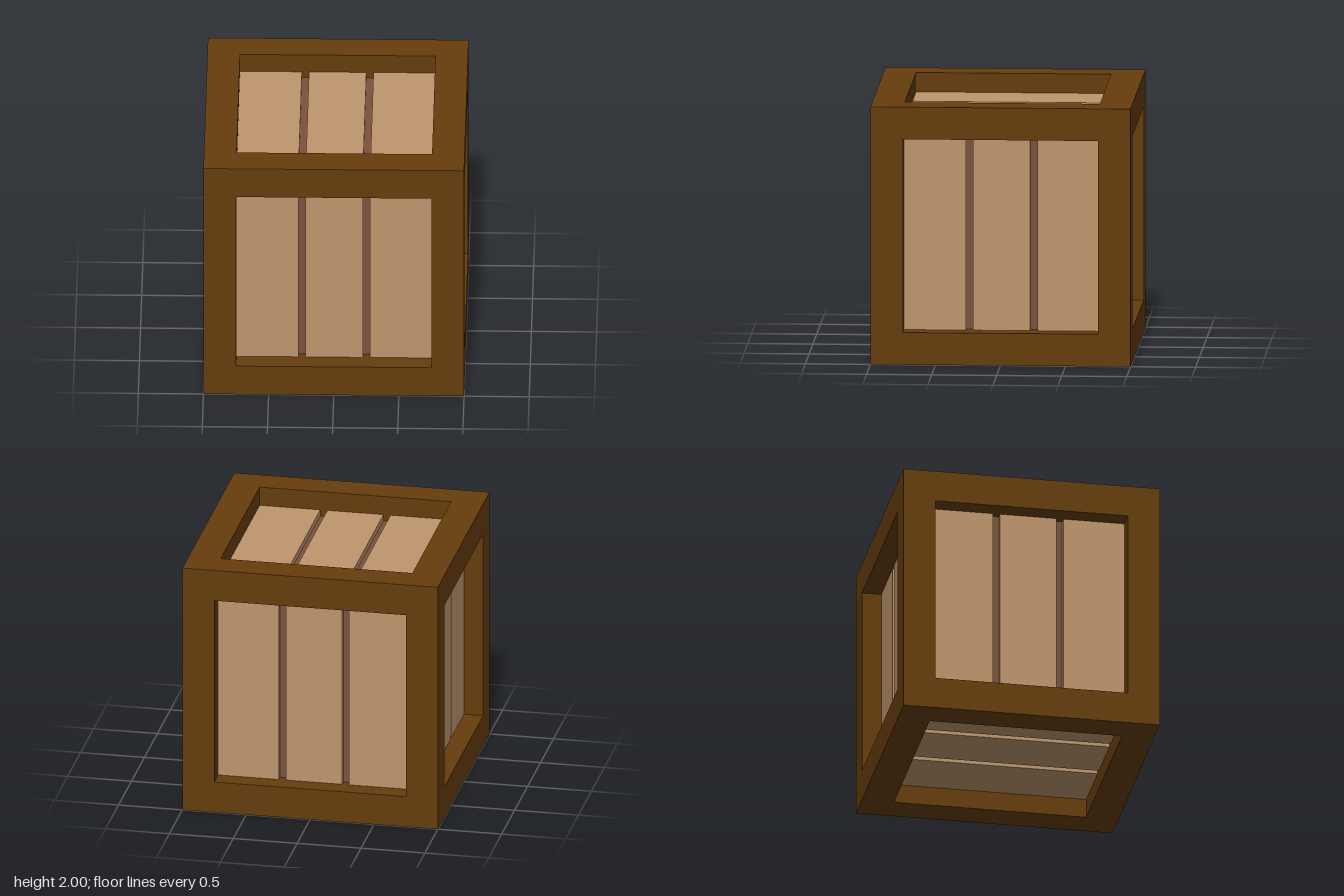
import * as THREE from 'three';
import { mergeGeometries } from 'three/addons/utils/BufferGeometryUtils.js';

const HALF = 1, OPEN = 0.75, PLANK_TOP = 0.85, CORE = 0.8;
const GAP_IN = 0.22, GAP_OUT = 0.275;

// One face of the frame: a flat square ring plus the four inner walls of its opening
function frameFace() {
  const square = (path, s) => path.moveTo(-s, -s).lineTo(s, -s).lineTo(s, s).lineTo(-s, s).closePath();
  const ring = square(new THREE.Shape(), HALF);
  ring.holes.push(square(new THREE.Path(), OPEN));
  const parts = [new THREE.ShapeGeometry(ring).translate(0, 0, HALF)];
  const depth = HALF - CORE;
  for (let i = 0; i < 4; i++) {
    parts.push(new THREE.PlaneGeometry(depth, 2 * OPEN)
      .rotateY(Math.PI / 2)
      .translate(-OPEN, 0, HALF - depth / 2)
      .rotateZ(i * Math.PI / 2));
  }
  return mergeGeometries(parts);
}

export function createModel() {
  const frameMat = new THREE.MeshStandardMaterial({ color: 0x663d0d });
  const plankMat = new THREE.MeshStandardMaterial({ color: 0xbf966d });
  const coreMat = new THREE.MeshStandardMaterial({ color: 0x7b523d });

  const crate = new THREE.Group();
  crate.name = 'crate';
  crate.position.y = HALF;

  // Dark inner box seen through the gaps
  const core = new THREE.Mesh(new THREE.BoxGeometry(2 * CORE, 2 * CORE, 2 * CORE), coreMat);
  core.name = 'innerBox';
  crate.add(core);

  const turns = {
    front: [0, 0], left: [0, Math.PI / 2], back: [0, Math.PI], right: [0, -Math.PI / 2],
    top: [-Math.PI / 2, 0], bottom: [Math.PI / 2, 0],
  };
  const spans = [[-OPEN, -GAP_OUT], [-GAP_IN, GAP_IN], [GAP_OUT, OPEN]];
  const frameParts = [];

  for (const [side, [rx, ry]] of Object.entries(turns)) {
    frameParts.push(frameFace().rotateX(rx).rotateY(ry));

    // Three planks recessed in each side
    const planks = new THREE.Group();
    planks.name = side + 'Planks';
    planks.rotation.set(rx, ry, 0);
    spans.forEach(([a, b], i) => {
      const thick = PLANK_TOP - CORE;
      const plank = new THREE.Mesh(new THREE.BoxGeometry(b - a, 2 * OPEN, thick), plankMat);
      plank.name = side + 'Plank' + (i + 1);
      plank.position.set((a + b) / 2, 0, CORE + thick / 2);
      planks.add(plank);
    });
    crate.add(planks);
  }

  // Outer frame as one seamless surface
  const frame = new THREE.Mesh(mergeGeometries(frameParts), frameMat);
  frame.name = 'frame';
  crate.add(frame);

  const model = new THREE.Group();
  model.add(crate);
  return model;
}
